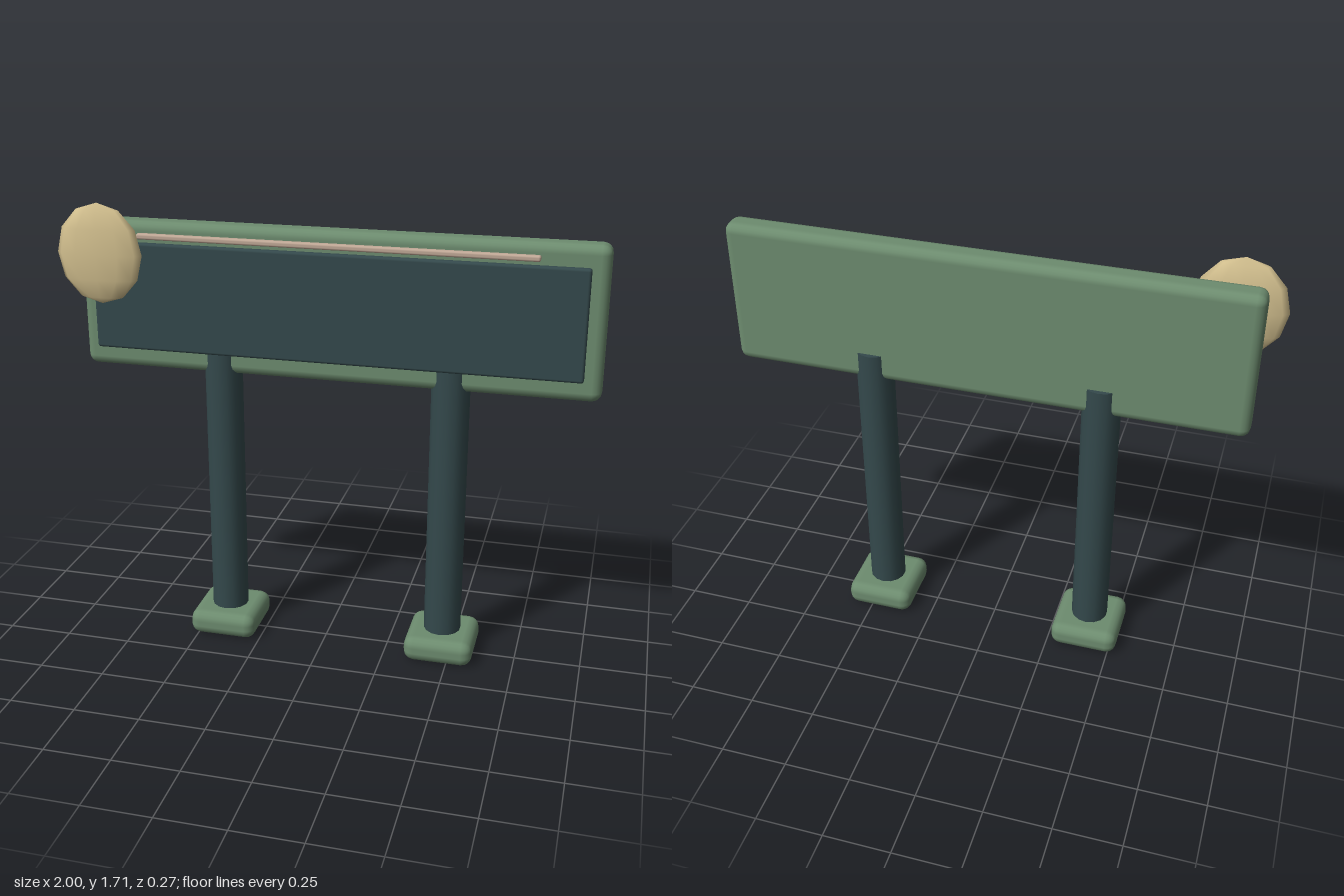
import * as THREE from 'three';
import { RoundedBoxGeometry } from 'three/addons/geometries/RoundedBoxGeometry.js';

function material(name, color) {
  const m = new THREE.MeshStandardMaterial({ color });
  m.name = name;
  return m;
}

export function createModel() {
  const green = material('sageGreen', 0x6d8c6f);
  const dark = material('darkTeal', 0x34494c);
  const tan = material('sandYellow', 0xd3c08f);
  const beige = material('pinkBeige', 0xc0a896);

  const model = new THREE.Group();
  model.name = 'signBoard';

  const add = (name, geometry, mat, x, y, z) => {
    const mesh = new THREE.Mesh(geometry, mat);
    mesh.name = name;
    mesh.position.set(x, y, z);
    model.add(mesh);
    return mesh;
  };
  const box = (w, h, d, r) => new RoundedBoxGeometry(w, h, d, 2, r);

  // Two posts on padded feet
  for (const [side, x] of [['right', -0.398], ['left', 0.465]]) {
    add(side + 'Foot', box(0.264, 0.1, 0.27, 0.04), green, x, 0.05, 0);
    add(side + 'Post', new THREE.CylinderGeometry(0.071, 0.071, 1.14, 14), dark, x, 0.62, 0);
  }

  // Backing board and the raised panel on its front
  add('board', box(1.93, 0.56, 0.104, 0.035), green, 0.035, 1.36, 0);
  add('panel', box(1.808, 0.405, 0.03, 0.01), dark, 0.033, 1.362, 0.065);

  // Thin trim bar above the panel
  add('trimBar', box(1.46, 0.022, 0.026, 0.008), beige, 0.035, 1.589, 0.067);

  // Flattened oval badge on the upper corner
  const badge = add('badge', new THREE.SphereGeometry(1, 12, 6), tan, -0.835, 1.521, 0.09);
  badge.scale.set(0.165, 0.187, 0.04);

  return model;
}
